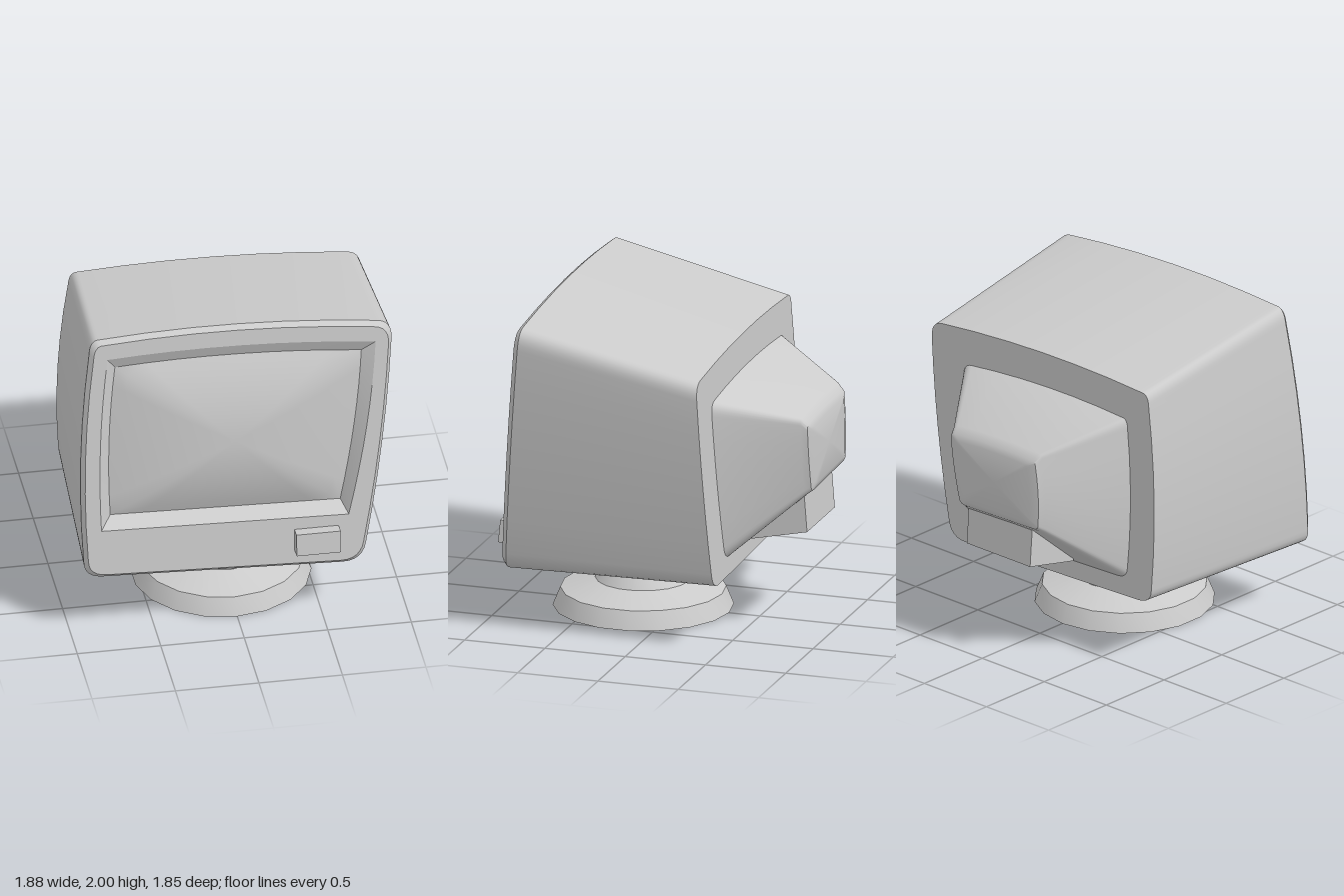
import * as THREE from 'three';
import { toCreasedNormals } from 'three/addons/utils/BufferGeometryUtils.js';

const material = new THREE.MeshStandardMaterial({ color: 0xcccccc });

// Closed outline of bowed sides, each [controlX, controlY, endX, endY]; counter-clockwise points.
function outline(x, y, curves, steps) {
  const path = new THREE.Path().moveTo(x, y);
  curves.forEach(c => path.quadraticCurveTo(...c));
  const points = path.getPoints(steps);
  points.pop();
  return points.reverse();
}

// Stretch an outline into a rectangle.
function fit(points, x0, x1, y0, y1) {
  const box = new THREE.Box2().setFromPoints(points);
  const size = box.getSize(new THREE.Vector2());
  return points.map(p => new THREE.Vector2(
    x0 + (p.x - box.min.x) / size.x * (x1 - x0),
    y0 + (p.y - box.min.y) / size.y * (y1 - y0)));
}

// Place an outline on a surface z = f(x, y).
const place = (points, f) => points.map(p => new THREE.Vector3(p.x, p.y, f(p.x, p.y)));

// Skin a series of rings, front to back, with optional end caps.
function loft(rings, capFront, capBack) {
  const n = rings[0].length, index = [], verts = rings.flat();
  for (let i = 0; i < rings.length - 1; i++) {
    for (let k = 0; k < n; k++) {
      const a = i * n + k, b = i * n + (k + 1) % n;
      index.push(a, a + n, b, b, a + n, b + n);
    }
  }
  const cap = (row, front) => {
    const centre = new THREE.Vector3();
    rings[row].forEach(p => centre.addScaledVector(p, 1 / n));
    const c = verts.push(centre) - 1;
    for (let k = 0; k < n; k++) {
      const a = row * n + k, b = row * n + (k + 1) % n;
      index.push(c, front ? a : b, front ? b : a);
    }
  };
  if (capFront) cap(0, true);
  if (capBack) cap(rings.length - 1, false);
  const geometry = new THREE.BufferGeometry().setFromPoints(verts);
  geometry.setIndex(index);
  return toCreasedNormals(geometry, 0.6);
}

export function createModel() {
  const model = new THREE.Group();
  const add = (name, geometry) => {
    const mesh = new THREE.Mesh(geometry, material);
    mesh.name = name;
    model.add(mesh);
    return mesh;
  };

  // Tilted planes of the front, the sunken screen edge and the back
  const frontZ = (x, y) => 0.865 - 0.098 * (y - 0.37);
  const screenZ = (x, y) => 0.74 - 0.05 * (y - 0.76);
  const backZ = (x, y) => -0.462 + 0.03 * (y - 0.385);

  // Lopsided outline with bowed sides and rounded corners
  const body = outline(-0.81, 1.975, [
    [0.02, 2.037, 0.85, 1.93], [0.945, 1.92, 0.935, 1.8],
    [0.89, 1.14, 0.76, 0.48], [0.74, 0.36, 0.62, 0.362],
    [-0.1, 0.388, -0.82, 0.415], [-0.93, 0.42, -0.93, 0.52],
    [-0.97, 1.2, -0.875, 1.88], [-0.87, 1.98, -0.81, 1.975]], 6);
  const face = fit(body, -0.918, 0.912, 0.39, 1.973);
  const opening = outline(-0.77, 1.855, [
    [0.03, 1.905, 0.835, 1.81], [0.8, 1.27, 0.655, 0.69],
    [-0.085, 0.71, -0.825, 0.73], [-0.845, 1.3, -0.77, 1.855]], 8);
  const screenEdge = outline(-0.72, 1.78, [
    [0.02, 1.825, 0.755, 1.74], [0.73, 1.27, 0.62, 0.745],
    [-0.07, 0.764, -0.757, 0.783], [-0.78, 1.3, -0.72, 1.78]], 8);

  // Housing: bevel, then tapering sides to the back panel
  add('housing', loft([
    place(face, frontZ),
    place(body, (x, y) => frontZ(x, y) - 0.03),
    place(fit(body, -0.87, 0.94, 0.385, 1.77), backZ)], false, true));

  // Flat front frame with the screen opening
  const frameShape = new THREE.Shape(face);
  frameShape.holes.push(new THREE.Path(opening));
  const frame = new THREE.ShapeGeometry(frameShape);
  const pos = frame.attributes.position;
  for (let i = 0; i < pos.count; i++) pos.setZ(i, frontZ(pos.getX(i), pos.getY(i)));
  frame.computeVertexNormals();
  add('frontFrame', frame);

  // Sloping walls of the opening
  add('screenSurround', loft([place(screenEdge, screenZ), place(opening, frontZ)]));

  // Domed screen from concentric rings
  const rings = [];
  for (let t = 0.1; t < 1.01; t += 0.1) {
    const ring = screenEdge.map(p => new THREE.Vector2(
      -0.02 + (p.x + 0.02) * t, 1.27 + (p.y - 1.27) * t));
    rings.push(place(ring, (x, y) => screenZ(x, y) + 0.11 * (1 - t * t)));
  }
  add('screen', loft(rings, true));

  // Tapered tube cover at the back
  const cover = [
    [-0.42, -0.695, 0.685, 0.47, 1.565], [-0.87, -0.39, 0.35, 0.86, 1.385],
    [-0.91, -0.37, 0.335, 0.89, 1.345], [-0.925, -0.31, 0.28, 0.93, 1.31]];
  add('rearCover', loft(cover.map(([z, ...box]) => place(fit(body, ...box), () => z)), false, true));

  // Wedge-shaped connector block under the rear cover
  const wedge = new THREE.Shape([[-0.857, 0.86], [-0.875, 0.63], [-0.5, 0.548], [-0.5, 0.8]]
    .map(p => new THREE.Vector2(...p)));
  add('connectorBlock', new THREE.ExtrudeGeometry(wedge, { depth: 0.51, bevelEnabled: false })
    .rotateY(-Math.PI / 2).translate(0.24, 0, 0));

  // Button on the front frame
  const button = add('button', new THREE.BoxGeometry(0.265, 0.14, 0.1));
  button.position.set(0.46, 0.555, 0.873);
  button.rotation.x = -0.098;

  // Swivel stand: foot, neck and collar
  const profile = [[0, 0], [0.535, 0], [0.49, 0.11], [0.285, 0.17], [0.22, 0.265],
    [0.315, 0.265], [0.365, 0.385], [0, 0.43]].map(p => new THREE.Vector2(...p));
  const stand = add('stand', toCreasedNormals(new THREE.LatheGeometry(profile, 18), 0.6));
  stand.position.set(-0.005, 0, 0.228);

  return model;
}
